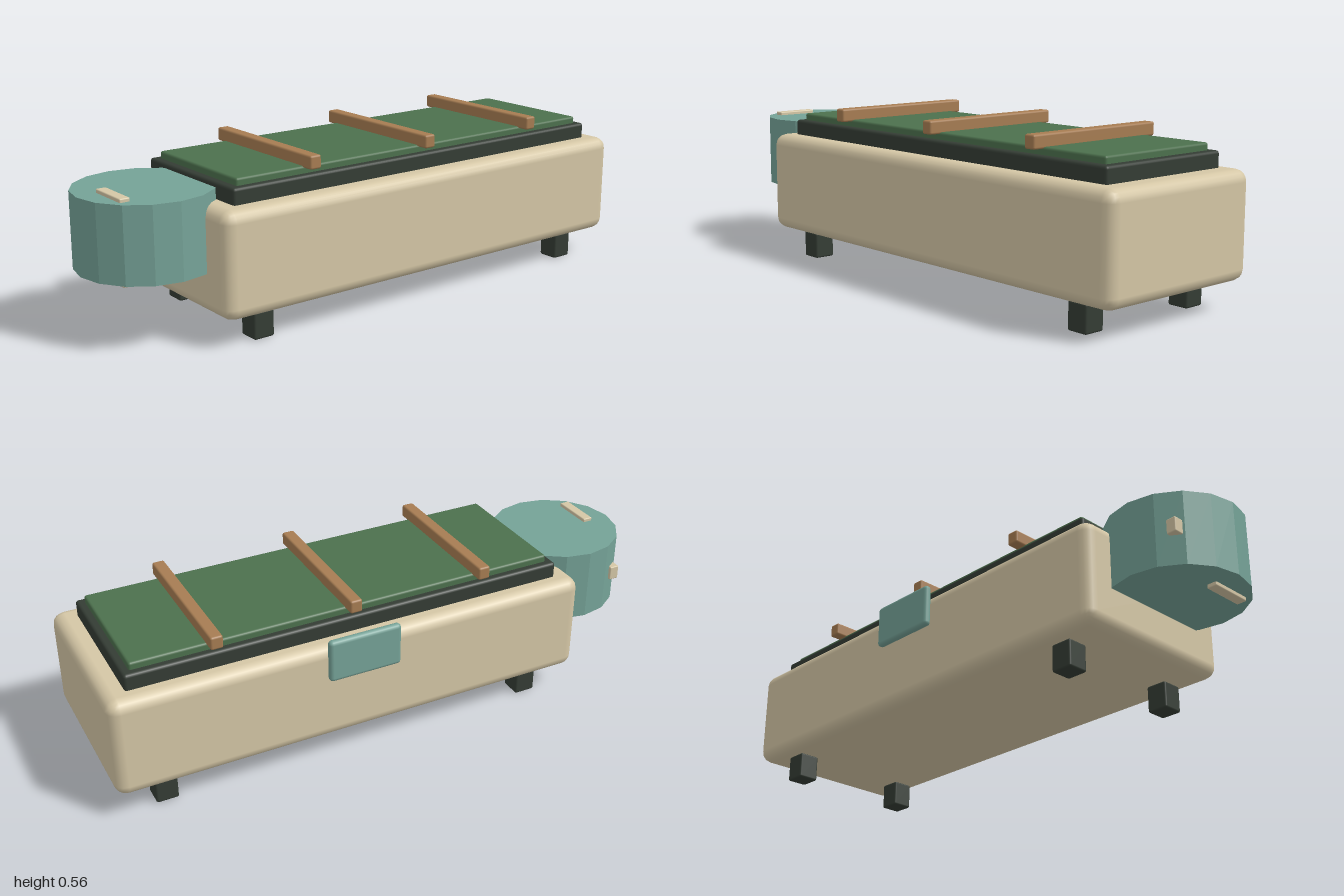
import * as THREE from 'three';
import { RoundedBoxGeometry } from 'three/addons/geometries/RoundedBoxGeometry.js';

const material = (color, flatShading = false) => new THREE.MeshStandardMaterial({ color, flatShading });

export function createModel() {
  const model = new THREE.Group();
  const cream = material(0xd4c6a5);
  const dark = material(0x343c34);
  const green = material(0x4c704d);
  const wood = material(0xa67c52);
  const teal = material(0x75a297);
  const tealFlat = material(0x75a297, true);

  // Rounded box given by its low and high corners
  const box = (name, mat, [x0, y0, z0], [x1, y1, z1], radius) => {
    const geometry = new RoundedBoxGeometry(x1 - x0, y1 - y0, z1 - z0, 2, radius);
    const mesh = new THREE.Mesh(geometry, mat);
    mesh.name = name;
    mesh.position.set((x0 + x1) / 2, (y0 + y1) / 2, (z0 + z1) / 2);
    model.add(mesh);
  };

  // Main body with stepped lid
  box('body', cream, [-0.68, 0.095, -0.3], [1.0, 0.443, 0.325], 0.04);
  box('lidFrame', dark, [-0.61, 0.42, -0.24], [0.925, 0.496, 0.263], 0.01);
  box('lidPanel', green, [-0.585, 0.45, -0.215], [0.9, 0.52, 0.24], 0.008);

  // Slats across the lid
  for (const x of [-0.315, 0.158, 0.631]) {
    box('slat', wood, [x - 0.021, 0.514, -0.255], [x + 0.021, 0.559, 0.28], 0.007);
  }

  // Feet
  for (const x of [-0.515, 0.829]) {
    for (const z of [-0.2125, 0.2375]) {
      box('foot', dark, [x - 0.0375, 0, z - 0.0375], [x + 0.0375, 0.092, z + 0.0375], 0.007);
    }
  }

  // Plate on the back
  box('backPlate', teal, [0.03, 0.324, -0.323], [0.285, 0.473, -0.295], 0.013);

  // Faceted drum at the end
  const drum = new THREE.Mesh(new THREE.CylinderGeometry(0.226, 0.226, 0.25, 16), tealFlat);
  drum.name = 'drum';
  drum.position.set(-0.774, 0.355, 0.008);
  model.add(drum);

  // Small tabs on the drum: one running through top and bottom, one at the back
  box('drumTab', cream, [-0.928, 0.217, -0.008], [-0.893, 0.492, 0.143], 0.004);
  box('drumBackTab', cream, [-0.928, 0.33, -0.19], [-0.893, 0.38, -0.1], 0.004);

  return model;
}
